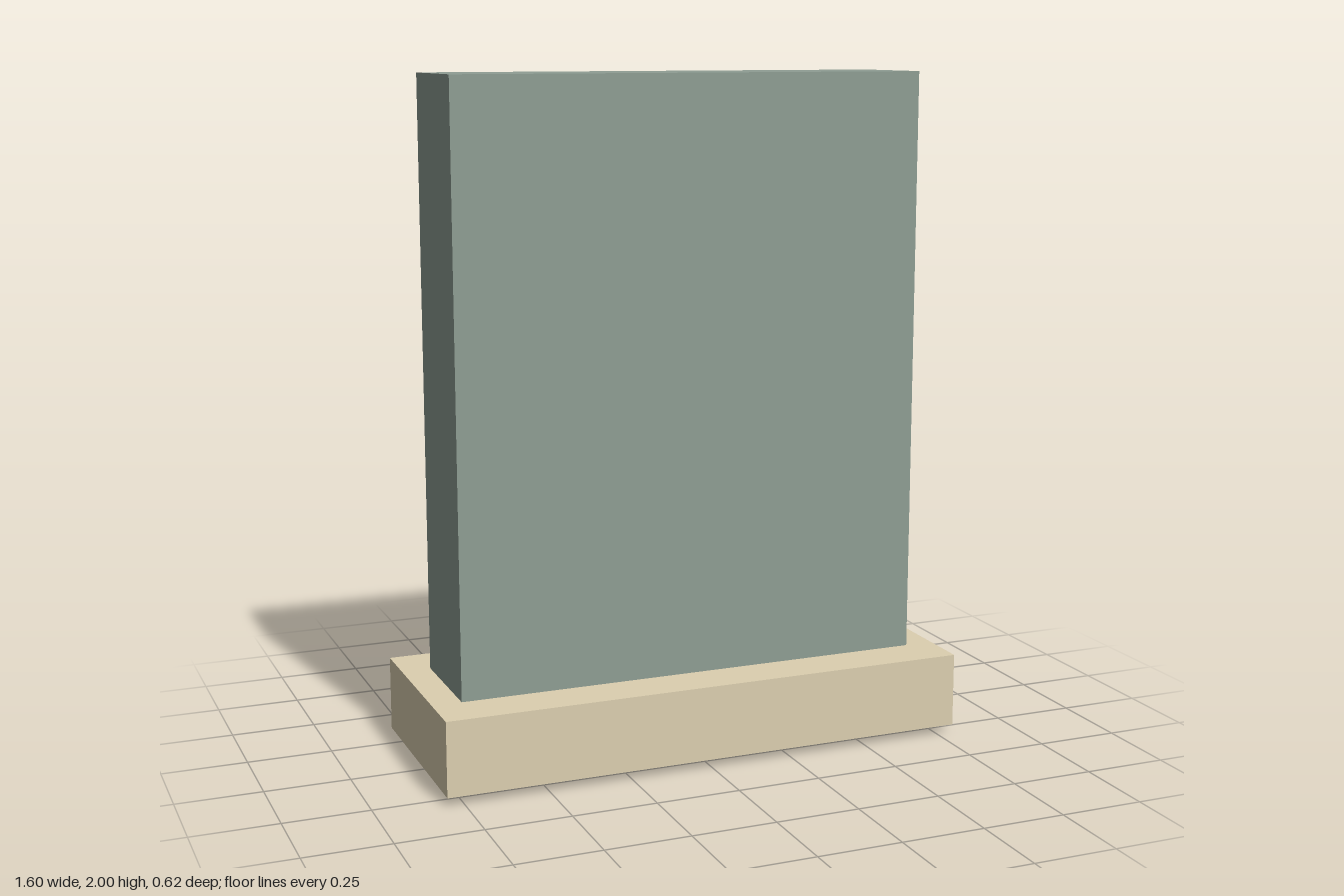
import * as THREE from 'three';

export function createModel() {
  const group = new THREE.Group();
  const material = (color) => new THREE.MeshStandardMaterial({ color, flatShading: true });
  const stone = material(0x8f9e94);
  const sand = material(0xdccfb0);
  const gold = material(0xd4a850);

  const add = (name, geometry, mat, x, y, z) => {
    const mesh = new THREE.Mesh(geometry, mat);
    mesh.name = name;
    mesh.position.set(x, y, z);
    group.add(mesh);
  };

  // Upright slab, running down through the plinth
  add('slab', new THREE.BoxGeometry(1.426, 2, 0.334), stone, 0, 1, 0);

  // Plinth around the foot of the slab
  add('plinth', new THREE.BoxGeometry(1.6, 0.222, 0.62), sand, 0, 0.137, 0);

  // Oval ring of seven faceted studs on the back
  const studGeometry = new THREE.IcosahedronGeometry(0.0735, 0);
  const count = 7;
  for (let i = 0; i < count; i++) {
    const a = (i / count) * Math.PI * 2;
    add(`stud${i + 1}`, studGeometry, gold, 0.467 * Math.sin(a), 1.091 + 0.557 * Math.cos(a), -0.2);
  }

  return group;
}
